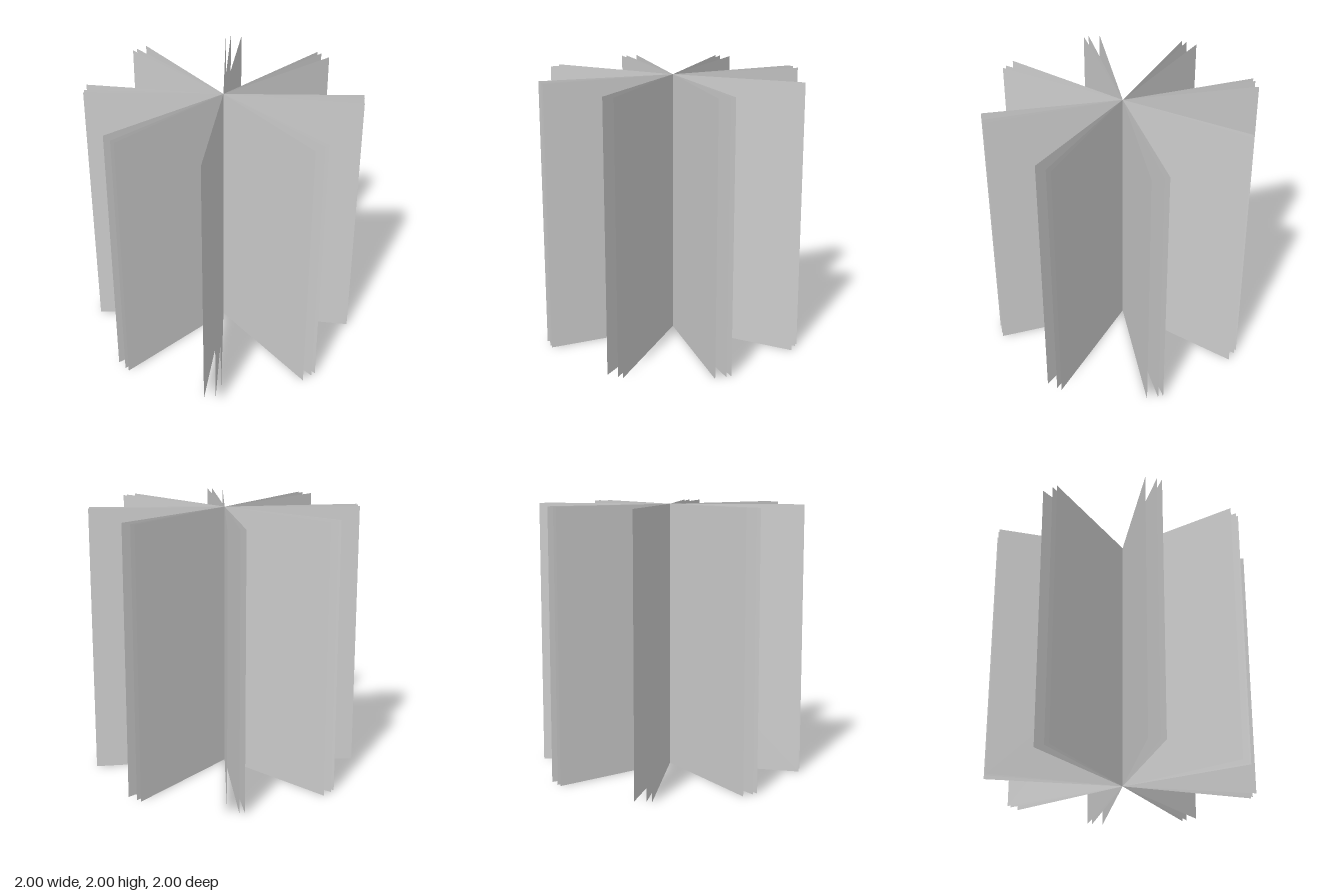
import * as THREE from 'three';

export function createModel() {
  const model = new THREE.Group();
  model.name = 'crossedCards';

  const material = new THREE.MeshStandardMaterial({ color: 0xcccccc, side: THREE.DoubleSide });
  const card = new THREE.PlaneGeometry(2, 2).translate(0, 1, 0);

  // Four fans of three upright cards, all crossing on the vertical axis
  const fanAngles = [-1.05, 1.2, 6.1]; // degrees from +x towards +z
  for (let i = 0; i < 4; i++) {
    const fan = new THREE.Group();
    fan.name = `fan${i + 1}`;
    fan.rotation.y = -i * Math.PI / 4;
    fanAngles.forEach((angle, j) => {
      const mesh = new THREE.Mesh(card, material);
      mesh.name = `card${j + 1}`;
      mesh.rotation.y = -THREE.MathUtils.degToRad(angle);
      fan.add(mesh);
    });
    model.add(fan);
  }
  return model;
}
